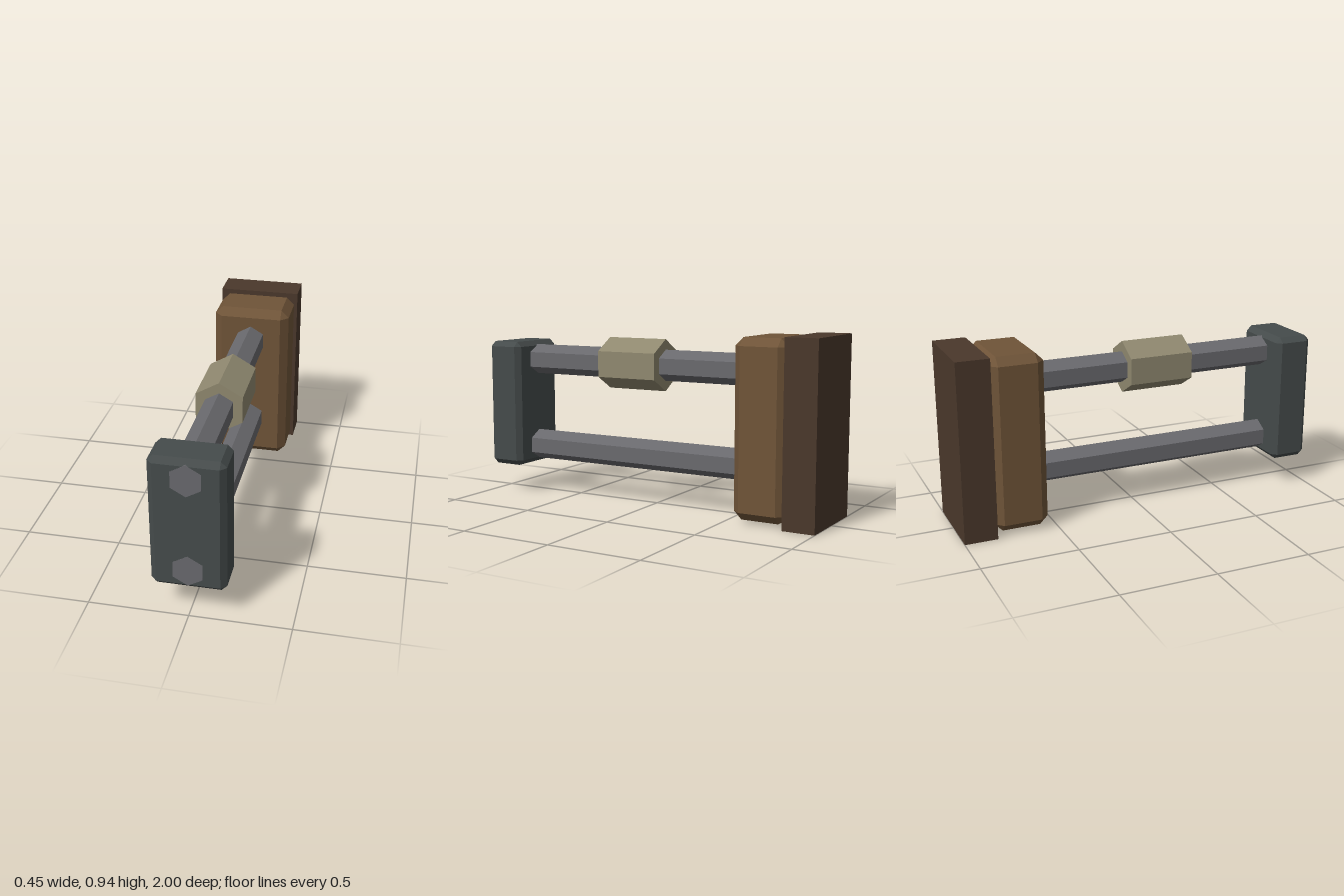
import * as THREE from 'three';
import { ConvexGeometry } from 'three/addons/geometries/ConvexGeometry.js';

const mat = (name, color) => new THREE.MeshStandardMaterial({ name, color, flatShading: true });

// Box with every edge chamfered by c
function chamferBox(w, h, d, c) {
  const pts = [];
  for (const sx of [-1, 1]) for (const sy of [-1, 1]) for (const sz of [-1, 1]) {
    for (let axis = 0; axis < 3; axis++) {
      const half = [w / 2, h / 2, d / 2].map((v, i) => (i === axis ? v : v - c));
      pts.push(new THREE.Vector3(sx * half[0], sy * half[1], sz * half[2]));
    }
  }
  return new ConvexGeometry(pts);
}

// Hexagonal bar along z, with a corner pointing up
const hexBar = (r, z0, z1) =>
  new THREE.CylinderGeometry(r, r, z1 - z0, 6).rotateX(Math.PI / 2).translate(0, 0, (z0 + z1) / 2);

export function createModel() {
  const model = new THREE.Group();
  const darkWood = mat('dark wood', 0x4a382b);
  const wood = mat('wood', 0x6f5438);
  const iron = mat('dark iron', 0x454b4b);
  const steel = mat('steel', 0x69696d);
  const brass = mat('dull brass', 0x8f886f);

  const add = (name, geometry, material, y, z = 0) => {
    const mesh = new THREE.Mesh(geometry, material);
    mesh.name = name;
    mesh.position.set(0, y, z);
    model.add(mesh);
  };

  // Rear mounting plate and chamfered block
  add('backPlate', new THREE.BoxGeometry(0.446, 0.94, 0.172), darkWood, 0.47, -0.914);
  add('rearBlock', chamferBox(0.42, 0.914, 0.284, 0.042), wood, 0.473, -0.687);

  // Front end block
  add('frontBlock', chamferBox(0.366, 0.7, 0.209, 0.028), iron, 0.506, 0.8945);

  // Two hexagonal rods, ends just showing through the front block
  add('upperRod', hexBar(0.083, -0.6, 1), steel, 0.753);
  add('lowerRod', hexBar(0.083, -0.6, 1), steel, 0.262);

  // Sleeve around the upper rod
  add('sleeve', hexBar(0.139, -0.052, 0.298), brass, 0.753);

  return model;
}
